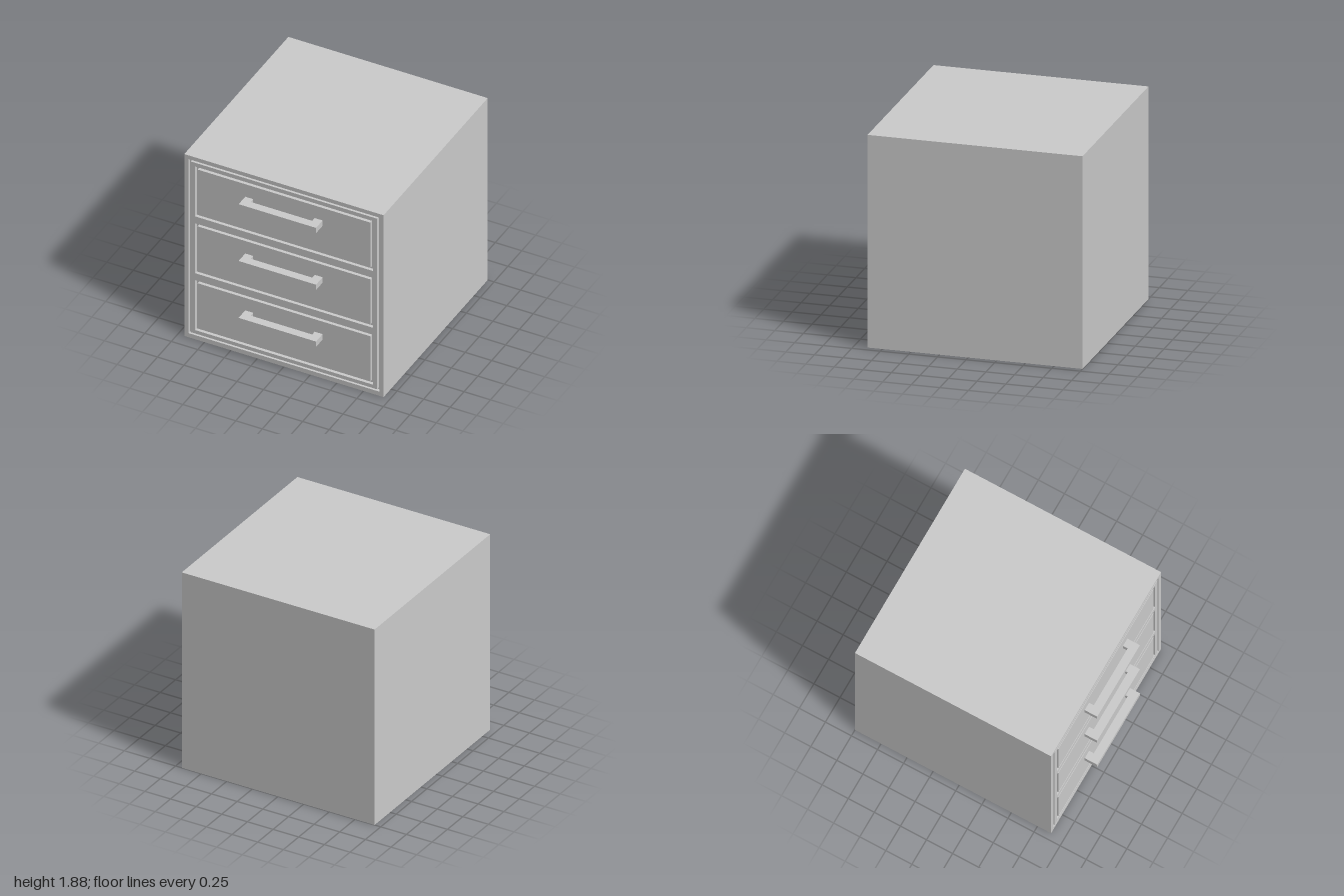
import * as THREE from 'three';

const FRONT = 0.88, GROOVE = 0.03;

function rect(type, w, y0, y1) {
  const r = new type();
  r.moveTo(-w, y0);
  r.lineTo(w, y0);
  r.lineTo(w, y1);
  r.lineTo(-w, y1);
  r.closePath();
  return r;
}

export function createModel() {
  const group = new THREE.Group();
  const material = new THREE.MeshStandardMaterial({ color: 0xcccccc, flatShading: true });

  function add(name, geometry, x = 0, y = 0, z = 0) {
    const mesh = new THREE.Mesh(geometry, material);
    mesh.name = name;
    mesh.position.set(x, y, z);
    group.add(mesh);
  }
  const extrude = (shape, depth) =>
    new THREE.ExtrudeGeometry(shape, { depth, bevelEnabled: false });

  // Cabinet body, ending at the floor of the front grooves
  const bodyDepth = FRONT - GROOVE + 1;
  add('cabinetBody', new THREE.BoxGeometry(1.88, 1.88, bodyDepth), 0, 0.94, -1 + bodyDepth / 2);

  // Outer rim around the front
  const rim = rect(THREE.Shape, 0.94, 0, 1.88);
  rim.holes.push(rect(THREE.Path, 0.9, 0.043, 1.842));
  add('frontRim', extrude(rim, GROOVE), 0, 0, FRONT - GROOVE);

  // Inner frame with an opening for each drawer
  const drawerCentres = [0.353, 0.941, 1.528];
  const frame = rect(THREE.Shape, 0.88, 0.06, 1.824);
  for (const y of drawerCentres) frame.holes.push(rect(THREE.Path, 0.838, y - 0.258, y + 0.258));
  add('drawerFrame', extrude(frame, GROOVE), 0, 0, FRONT - GROOVE);

  // U-shaped handle outline, seen from above
  const handle = new THREE.Shape([
    [-0.365, 0], [-0.29, 0], [-0.29, 0.045], [0.29, 0.045],
    [0.29, 0], [0.365, 0], [0.365, 0.12], [-0.365, 0.12],
  ].map(([x, z]) => new THREE.Vector2(x, -z)));
  const handleGeometry = extrude(handle, 0.055).rotateX(-Math.PI / 2);

  // Drawer fronts and their handles
  drawerCentres.forEach((y, i) => {
    add(`drawerFront${i + 1}`, new THREE.BoxGeometry(1.63, 0.468, GROOVE), 0, y, FRONT - GROOVE / 2);
    add(`drawerHandle${i + 1}`, handleGeometry, 0, y + 0.05, FRONT);
  });

  return group;
}
